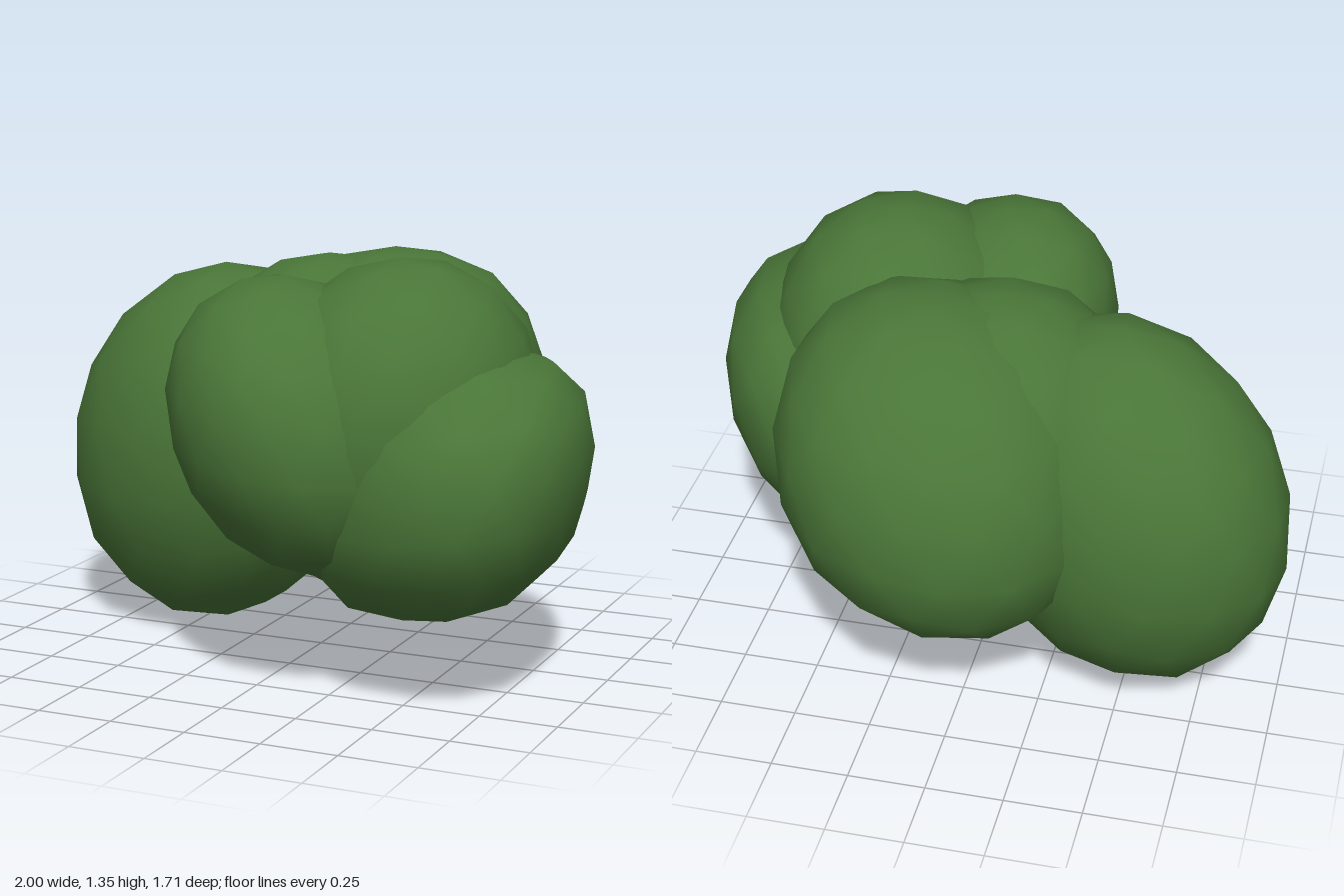
import * as THREE from 'three';
import { mergeVertices } from 'three/addons/utils/BufferGeometryUtils.js';

// Leaf clumps: name, min corner, max corner, fullness (2 = ellipsoid, more = boxier),
// and lean, the slant between the axes [xy, xz, yz]
const clumps = [
  ['rightClump',  [-1.00, 0.00, -0.66], [0.08, 1.24, 0.30], 2, [0.1, 0.12, 0]],
  ['backClump',   [-0.42, 0.27, -0.855], [0.64, 1.31, 0.19], 2.15, [0.12, 0.06, 0.15]],
  ['middleClump', [-0.50, 0.30, -0.64], [0.42, 1.295, 0.32], 2.1, [0, 0, 0]],
  ['frontClump',  [-0.315, 0.37, -0.06], [0.52, 1.295, 0.855], 2.05, [-0.2, 0.1, 0]],
  ['upperClump',  [-0.10, 0.28, -0.27], [0.81, 1.35, 0.735], 2.1, [0.08, 0, 0]],
  ['leftClump',   [0.06, 0.225, -0.36], [1.00, 1.08, 0.775], 2.4, [0.2, 0.22, 0]],
];

// Rounded ball with a vertex at each pole, swollen, slanted and fitted to a box
function clumpGeometry(size, fullness, [xy, xz, yz]) {
  const ball = new THREE.IcosahedronGeometry(1, 2);
  ball.rotateX(-Math.atan((1 + Math.sqrt(5)) / 2));
  ball.deleteAttribute('normal');
  ball.deleteAttribute('uv');
  const geometry = mergeVertices(ball, 1e-4);

  const position = geometry.attributes.position;
  const v = new THREE.Vector3();
  for (let i = 0; i < position.count; i++) {
    v.fromBufferAttribute(position, i);
    const sum = [v.x, v.y, v.z].reduce((s, c) => s + Math.abs(c) ** fullness, 0);
    v.multiplyScalar(sum ** (-1 / fullness));
    position.setXYZ(i, v.x, v.y, v.z);
  }
  geometry.applyMatrix4(new THREE.Matrix4().set(
    1, xy / 2, xz / 2, 0,
    xy / 2, 1, yz / 2, 0,
    xz / 2, yz / 2, 1, 0,
    0, 0, 0, 1,
  ));

  geometry.computeBoundingBox();
  const fit = size.divide(geometry.boundingBox.getSize(v));
  geometry.scale(fit.x, fit.y, fit.z);
  geometry.center();
  geometry.computeVertexNormals();
  return geometry;
}

export function createModel() {
  const bush = new THREE.Group();
  bush.name = 'bush';
  const leafGreen = new THREE.MeshStandardMaterial({ color: 0x4a7638 });
  leafGreen.name = 'leafGreen';

  for (const [name, lo, hi, fullness, lean] of clumps) {
    const min = new THREE.Vector3(...lo);
    const max = new THREE.Vector3(...hi);
    const clump = new THREE.Mesh(clumpGeometry(max.clone().sub(min), fullness, lean), leafGreen);
    clump.name = name;
    clump.position.copy(min).add(max).multiplyScalar(0.5);
    bush.add(clump);
  }
  return bush;
}
